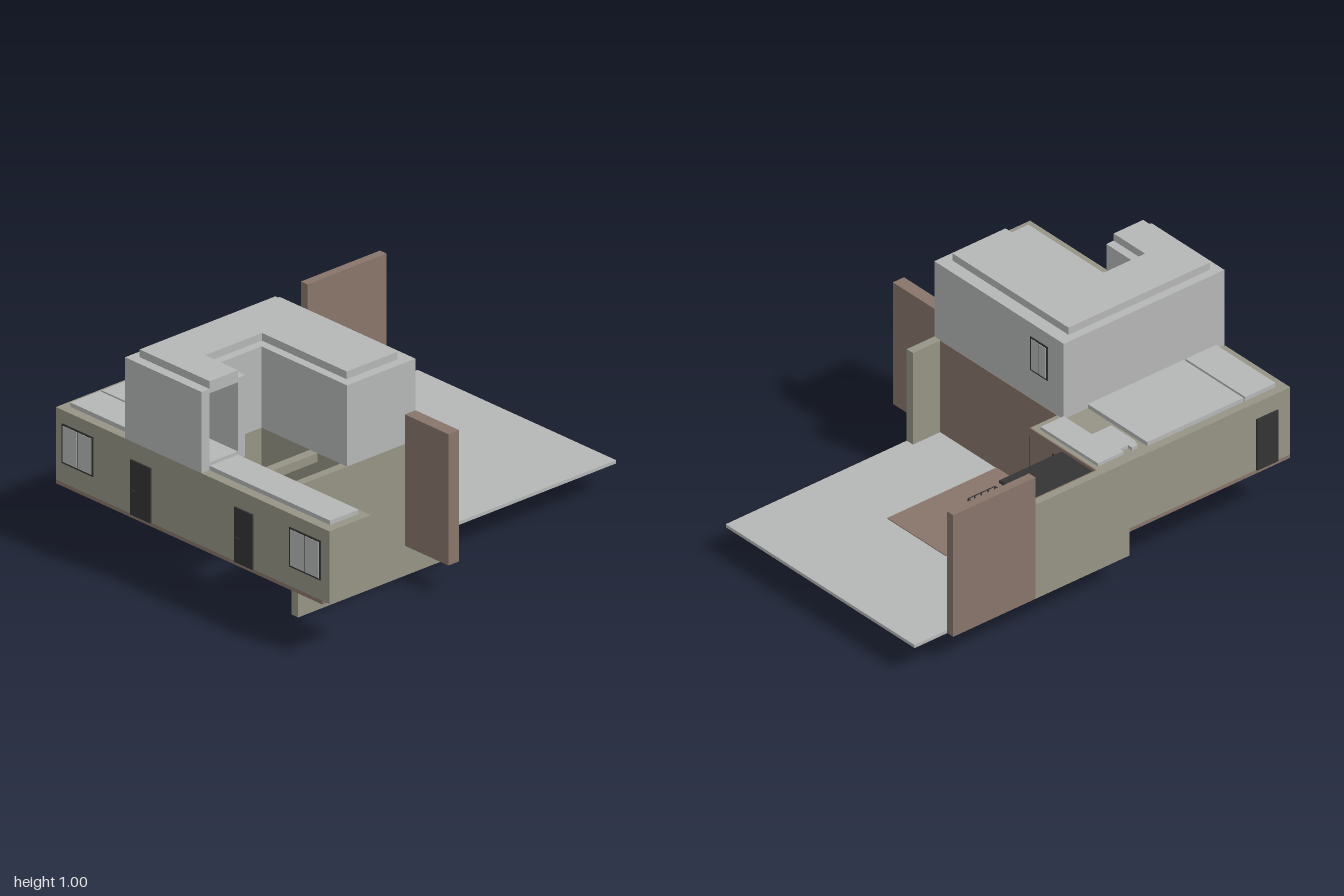
import * as THREE from 'three';

const mat = (name, hex) => {
  const m = new THREE.MeshStandardMaterial({ color: hex });
  m.name = name;
  return m;
};

export function createModel() {
  const house = new THREE.Group();
  house.name = 'house';
  const grey = mat('light grey', 0xb5b7b6);
  const olive = mat('olive plaster', 0x969485);
  const brown = mat('brown cladding', 0x88756a);
  const dark = mat('dark metal', 0x343434);

  const add = (name, geo, m) => {
    const mesh = new THREE.Mesh(geo, m);
    mesh.name = name;
    house.add(mesh);
    return mesh;
  };
  // Box given by its limits on each axis
  const box = (name, m, x0, x1, y0, y1, z0, z1) => {
    const g = new THREE.BoxGeometry(x1 - x0, y1 - y0, z1 - z0);
    g.translate((x0 + x1) / 2, (y0 + y1) / 2, (z0 + z1) / 2);
    return add(name, g, m);
  };
  // Prism over a plan outline of [x, z] points, with optional holes
  const prism = (name, m, pts, y0, y1, holes = []) => {
    const v = (list) => list.map(([x, z]) => new THREE.Vector2(x, -z));
    const shape = new THREE.Shape(v(pts));
    holes.forEach((h) => shape.holes.push(new THREE.Path(v(h))));
    const g = new THREE.ExtrudeGeometry(shape, { depth: y1 - y0, bevelEnabled: false });
    g.rotateX(-Math.PI / 2);
    g.translate(0, y0, 0);
    return add(name, g, m);
  };
  const rod = (name, a, b, r = 0.003) => {
    const path = new THREE.LineCurve3(new THREE.Vector3(...a), new THREE.Vector3(...b));
    return add(name, new THREE.TubeGeometry(path, 1, r, 6), dark);
  };
  // Thin plate on a wall facing +x or -x
  const plate = (name, m, x, dir, y0, y1, z0, z1, t) =>
    box(name, m, Math.min(x, x + dir * t), Math.max(x, x + dir * t), y0, y1, z0, z1);
  // Window: dark frame with two panes
  const windowX = (name, x, dir, y0, y1, z0, z1) => {
    const f = 0.008, mid = (z0 + z1) / 2;
    plate(name + 'Frame', dark, x, dir, y0, y1, z0, z1, 0.004);
    plate(name + 'Pane', grey, x, dir, y0 + f, y1 - f, z0 + f, mid - f / 3, 0.006);
    plate(name + 'Pane', grey, x, dir, y0 + f, y1 - f, mid + f / 3, z1 - f, 0.006);
  };
  const doorX = (name, x, dir, y0, y1, z0, z1) => {
    plate(name, dark, x, dir, y0, y1, z0, z1, 0.008);
    plate(name + 'Handle', dark, x, dir, y0 + 0.11, y0 + 0.118, z0 + 0.01, z0 + 0.03, 0.014);
  };

  // Ground slab, patio and free-standing walls
  box('groundSlab', grey, -0.13, 1, 0.135, 0.15, -0.79, 0.415);
  box('patio', brown, -0.13, 0.465, 0.15, 0.154, -0.36, 0.015);
  box('slabPit', brown, 0.2, 0.375, 0.131, 0.135, -0.565, -0.36);
  box('backScreenWall', brown, 0.38, 0.825, 0.137, 0.735, -0.83, -0.79);
  box('frontScreenWall', brown, -0.19, -0.13, 0.137, 0.735, 0.415, 0.68);
  box('frontWall', olive, -0.79, 0.02, 0, 0.6, 0.375, 0.415);

  // Main floor around an open courtyard
  const plan = (zEnd) => [
    [-1, -0.83], [-0.13, -0.83], [-0.13, 0.375], [-0.515, 0.375], [-0.515, -0.105],
    [-0.755, -0.105], [-0.755, 0.055], [-0.765, 0.055], [-0.765, zEnd], [-1, zEnd],
  ];
  prism('mainFloorWalls', olive, plan(0.83), 0.27, 0.6);
  prism('floorSlab', brown, plan(0.79), 0.253, 0.27);
  box('courtyardBeam', olive, -0.765, -0.515, 0.56, 0.6, 0.19, 0.235);
  box('entranceBlock', olive, -0.13, 0.015, 0.137, 0.6, -0.83, -0.37);
  box('backWall', olive, 0.015, 0.38, 0.137, 0.6, -0.83, -0.795);
  box('foundationStrip', olive, -0.79, -0.17, 0.14, 0.253, -0.41, -0.37);
  box('eastWall', brown, -0.17, -0.127, 0, 0.6, -0.37, 0.375);
  box('terraceSideWall', brown, 0.015, 0.021, 0.15, 0.6, -0.795, -0.37);
  box('terraceBackWall', brown, 0.015, 0.38, 0.15, 0.6, -0.795, -0.789);

  // Low roofs
  box('wingRoof', grey, -0.955, -0.795, 0.6, 0.62, 0.055, 0.787);
  box('backRoof', grey, -0.955, -0.79, 0.6, 0.62, -0.79, -0.41);
  box('backRoof', grey, -0.78, -0.26, 0.6, 0.62, -0.79, -0.41);
  box('roofJoint', olive, -0.79, -0.78, 0.6, 0.61, -0.79, -0.41);
  prism('entranceRoof', grey, [
    [-0.235, -0.74], [-0.22, -0.775], [-0.19, -0.775], [-0.19, -0.75], [-0.145, -0.75],
    [-0.145, -0.775], [-0.005, -0.775], [-0.005, -0.41], [-0.13, -0.41], [-0.13, -0.59], [-0.235, -0.59],
  ], 0.6, 0.615);

  // Upper storey: solid L plus a hollow arm open to the front
  prism('upperBlock', grey, [
    [-1, -0.41], [-0.13, -0.41], [-0.13, 0.415], [-0.515, 0.415], [-0.515, -0.105],
    [-0.755, -0.105], [-0.755, 0.055], [-0.795, 0.055], [-0.795, -0.37], [-0.955, -0.37],
    [-0.955, 0.055], [-1, 0.055],
  ], 0.6, 0.97);
  box('upperArmFloor', grey, -0.955, -0.795, 0.6, 0.635, -0.37, 0.055);
  box('upperArmCeiling', grey, -0.955, -0.795, 0.95, 0.97, -0.37, 0.055);
  prism('upperRoofCap', grey, [
    [-0.955, -0.37], [-0.19, -0.37], [-0.19, 0.37], [-0.475, 0.37], [-0.475, -0.145],
    [-0.795, -0.145], [-0.795, 0.055], [-0.955, 0.055],
  ], 0.97, 1.005);

  // Windows and doors
  windowX('upperWindow', -0.13, 1, 0.74, 0.905, -0.31, -0.2);
  windowX('backWindow', -1, -1, 0.36, 0.54, -0.79, -0.6);
  windowX('wingWindow', -1, -1, 0.36, 0.54, 0.59, 0.78);
  doorX('eastDoor', -0.127, 1, 0.154, 0.42, -0.31, -0.2);
  plate('eastDoorPane', grey, -0.127, 1, 0.35, 0.385, -0.278, -0.232, 0.0095);
  doorX('sideDoor', -1, -1, 0.27, 0.52, -0.37, -0.25);
  doorX('sideDoor', -1, -1, 0.27, 0.52, 0.26, 0.37);
  doorX('wingDoor', -0.765, 1, 0.27, 0.515, 0.51, 0.64);
  box('backDoor', dark, -0.93, -0.815, 0.27, 0.52, -0.838, -0.83);

  // Terrace door and canopy
  plate('terraceDoorFrame', dark, 0.021, 1, 0.27, 0.55, -0.77, -0.52, 0.006);
  for (const z of [-0.745, -0.67]) {
    plate('terraceDoorPane', grey, 0.021, 1, 0.282, 0.535, z, z + 0.066, 0.009);
    rod('terraceDoorHandle', [0.036, 0.36, -0.675], [0.036, 0.4, -0.675]);
  }
  box('canopy', dark, 0.021, 0.36, 0.573, 0.586, -0.787, -0.575);
  box('canopyBracket', dark, 0.08, 0.1, 0.565, 0.573, -0.75, -0.62);

  // Terrace deck and steps
  box('deckBase', brown, 0.195, 0.385, 0.15, 0.264, -0.79, -0.36);
  box('deckTop', olive, 0.195, 0.385, 0.264, 0.27, -0.79, -0.36);
  box('landing', brown, 0.021, 0.195, 0.15, 0.27, -0.79, -0.57);
  box('stairCurb', brown, 0.021, 0.045, 0.15, 0.265, -0.57, -0.37);
  const steps = 7;
  for (let i = 0; i < steps; i++) {
    box('stairStep', brown, 0.045, 0.195, 0.15, 0.15 + (i + 1) * 0.0165, -0.57, -0.36 - i * 0.03);
  }

  // Grid railings round the deck
  const railing = (x0, z0, x1, z1, n) => {
    for (let i = 0; i <= n; i++) {
      const x = x0 + ((x1 - x0) * i) / n, z = z0 + ((z1 - z0) * i) / n;
      rod('railingPost', [x, 0.27, z], [x, 0.39, z]);
    }
    for (const y of [0.285, 0.32, 0.355, 0.388]) rod('railingBar', [x0, y, z0], [x1, y, z1], 0.0025);
  };
  railing(0.205, -0.365, 0.35, -0.365, 4);
  railing(0.205, -0.365, 0.205, -0.565, 6);
  railing(0.35, -0.365, 0.35, -0.565, 6);
  for (const y of [0.285, 0.385]) rod('sideRail', [0.378, y, -0.565], [0.378, y, -0.775], 0.005);
  for (const z of [-0.565, -0.67, -0.77]) rod('sideRailPost', [0.378, 0.27, z], [0.378, 0.385, z], 0.004);
  rod('stairRailPost', [0.197, 0.15, -0.345], [0.197, 0.275, -0.345], 0.004);
  rod('stairRail', [0.197, 0.275, -0.345], [0.197, 0.39, -0.56], 0.004);
  rod('cornerPost', [0.378, 0.15, -0.352], [0.378, 0.27, -0.352], 0.005);
  box('gatePost', dark, 0.355, 0.388, 0.15, 0.45, -0.507, -0.462);

  return house;
}
